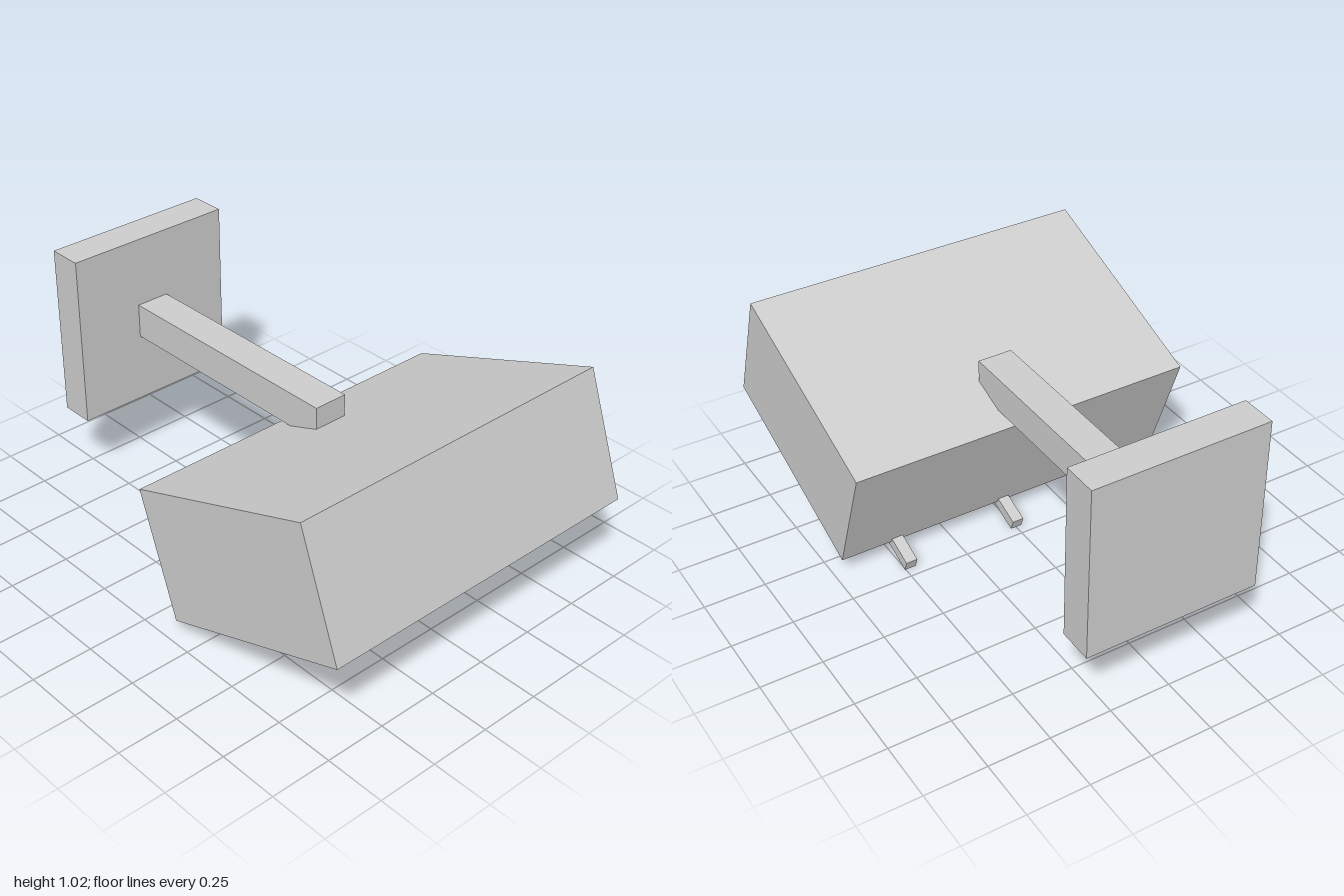
import * as THREE from 'three';

export function createModel() {
  const model = new THREE.Group();
  model.name = 'wallFloodlight';
  const grey = new THREE.MeshStandardMaterial({ color: 0xcccccc });
  grey.name = 'light grey';

  const addBox = (parent, name, size, position) => {
    const mesh = new THREE.Mesh(new THREE.BoxGeometry(...size), grey);
    mesh.name = name;
    mesh.position.set(...position);
    parent.add(mesh);
  };

  // Wall plate and the straight arm reaching forward from it
  addBox(model, 'wallPlate', [0.717, 0.717, 0.143], [0, 0.669, -0.928]);
  addBox(model, 'arm', [0.143, 0.143, 1.055], [0, 0.669, -0.33]);

  // Lamp head, tipped so its front points slightly upward
  const head = new THREE.Group();
  head.name = 'head';
  head.position.set(0, 0.476, 0.485);
  head.rotation.x = -THREE.MathUtils.degToRad(20);
  model.add(head);
  addBox(head, 'housing', [1.434, 0.523, 0.905], [0, 0, 0]);

  // Three slim bars set into the underside, overhanging at the back
  for (const x of [-0.48, 0, 0.48]) {
    addBox(head, 'undersideBar', [0.047, 0.047, 0.954], [x, -0.266, -0.097]);
  }
  return model;
}
